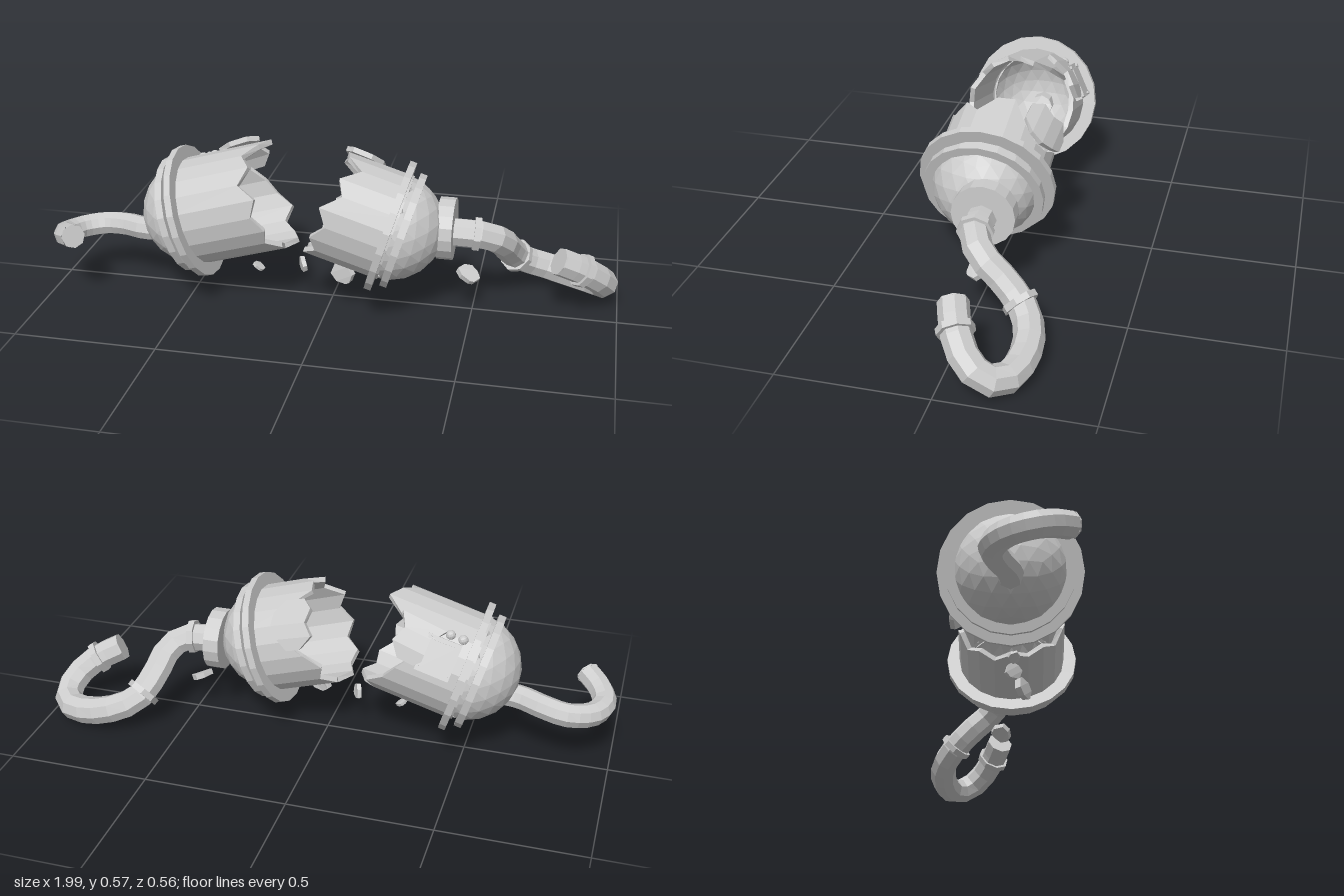
import * as THREE from 'three';

const mat = new THREE.MeshStandardMaterial({ color: 0xcccccc, flatShading: true });
const rad = THREE.MathUtils.degToRad;

function add(parent, name, geometry) {
  const mesh = new THREE.Mesh(geometry, mat);
  mesh.name = name;
  parent.add(mesh);
  return mesh;
}

// Thick curved plate around the x axis; each column is [angle in degrees from the top, start, end]
function shell(columns, r, wall, closed = false) {
  const pos = [], idx = [], n = columns.length;
  for (const [deg, s0, s1] of columns) {
    const c = Math.cos(rad(deg)), s = Math.sin(rad(deg)), ri = r - wall;
    pos.push(s0, r * c, r * s, s1, r * c, r * s, s1, ri * c, ri * s, s0, ri * c, ri * s);
  }
  for (let i = 0; i < (closed ? n : n - 1); i++) {
    const a = i * 4, b = ((i + 1) % n) * 4;
    for (let k = 0; k < 4; k++) {
      const m = (k + 1) % 4;
      idx.push(a + k, b + k, a + m, b + k, b + m, a + m);
    }
  }
  if (!closed) {
    const e = (n - 1) * 4;
    idx.push(0, 1, 2, 0, 2, 3, e, e + 2, e + 1, e, e + 3, e + 2);
  }
  const g = new THREE.BufferGeometry();
  g.setAttribute('position', new THREE.Float32BufferAttribute(pos, 3));
  g.setIndex(idx);
  g.computeVertexNormals();
  return g;
}

// Flat band around the x axis
function band(rIn, rOut, x0, x1) {
  const pts = [[rIn, x0], [rOut, x0], [rOut, x1], [rIn, x1], [rIn, x0]];
  return new THREE.LatheGeometry(pts.map(p => new THREE.Vector2(...p)), 20).rotateZ(-Math.PI / 2);
}

// Hollow dome: the far half of the ball is folded back to form the inside of the bowl
function dome(r) {
  const g = new THREE.IcosahedronGeometry(r, 3), p = g.attributes.position;
  for (let i = 0; i < p.count; i++) {
    const x = p.getX(i);
    if (x > 0) p.setXYZ(i, -x * 0.9, p.getY(i) * 0.92, p.getZ(i) * 0.92);
  }
  g.computeVertexNormals();
  return g;
}

// One broken half, with its open end toward local +x
function half(name, jag) {
  const g = new THREE.Group();
  g.name = name;
  const step = 360 / jag.length;
  add(g, 'brokenShell', shell(jag.map((s, i) => [i * step, -0.02, s]), 0.19, 0.018, true));
  add(g, 'dome', dome(0.187));
  add(g, 'wideFlange', band(0.175, 0.235, -0.012, 0.012));
  add(g, 'narrowFlange', band(0.165, 0.207, -0.06, -0.035));
  return g;
}

// Bent pipe with a closed tip and collars at given fractions of its length
function pipe(name, points, r, collars) {
  const g = new THREE.Group();
  g.name = name;
  const curve = new THREE.CatmullRomCurve3(points.map(p => new THREE.Vector3(...p)));
  add(g, 'tube', new THREE.TubeGeometry(curve, 18, r, 8));
  const disc = (part, t, radius, len) => {
    const m = add(g, part, new THREE.CylinderGeometry(radius, radius, len, 8).rotateX(Math.PI / 2));
    const p = curve.getPointAt(t);
    m.position.copy(p);
    m.lookAt(p.clone().add(curve.getTangentAt(t)));
  };
  disc('pipeTip', 1, r, 0.006);
  collars.forEach(t => disc('collar', t, r * 1.22, 0.022));
  return g;
}

export function createModel() {
  const model = new THREE.Group();
  model.name = 'brokenCapsule';

  // Right-hand half on -x, tilted up toward the break
  const a = half('longHalf', [0.30, 0.25, 0.28, 0.24, 0.29, 0.26, 0.29, 0.27, 0.31, 0.30,
    0.335, 0.31, 0.27, 0.30, 0.25, 0.22, 0.18, 0.17, 0.26, 0.33]);
  a.position.set(-0.487, 0.31, 0.04);
  a.rotation.z = rad(16.5);
  model.add(a);

  // Control hatch, rivets and buttons on the upper back
  const hatch = new THREE.Group();
  hatch.name = 'controlHatch';
  hatch.rotation.x = rad(-62);
  a.add(hatch);
  add(hatch, 'hatchPlate', new THREE.BoxGeometry(0.12, 0.025, 0.13)).position.set(0.1, 0.193, 0);
  add(hatch, 'hatchDoor', new THREE.BoxGeometry(0.09, 0.012, 0.1)).position.set(0.1, 0.207, 0);
  for (const x of [0.05, 0.15]) for (const z of [-0.055, 0.055])
    add(hatch, 'rivet', new THREE.CylinderGeometry(0.007, 0.007, 0.012, 6)).position.set(x, 0.208, z);
  for (let i = 0; i < 3; i++) {
    const b = add(a, 'button', new THREE.IcosahedronGeometry(0.017, 1));
    b.position.set(0.045 + i * 0.045, 0.19 * Math.cos(rad(36)), -0.19 * Math.sin(rad(36)));
  }

  // Torn plate peeled away at the break
  const flapA = add(a, 'tornPlate', shell([[-80, 0.19, 0.25], [-66, 0.15, 0.29], [-50, 0.17, 0.27],
    [-36, 0.14, 0.30], [-24, 0.2, 0.27]], 0.2, 0.018));
  flapA.position.set(-0.02, -0.005, -0.01);
  flapA.rotation.z = rad(5);

  // Shorter half on +x
  const b = half('shortHalf', [0.21, 0.22, 0.13, 0.09, 0.11, 0.17, 0.22, 0.19, 0.23, 0.21,
    0.25, 0.23, 0.25, 0.21, 0.24, 0.20, 0.24, 0.18, 0.21, 0.15]);
  b.position.set(0.21, 0.315, 0.04);
  b.rotation.set(0, Math.PI, rad(-17), 'ZYX');
  model.add(b);
  const flapB = add(b, 'tornPlate', shell([[26, 0.15, 0.22], [38, 0.11, 0.25], [52, 0.1, 0.23],
    [66, 0.12, 0.25], [78, 0.15, 0.2]], 0.2, 0.018));
  flapB.position.set(0, 0, 0.012);
  flapB.rotation.y = rad(-5);

  // Pipe socket and the two hooked pipes
  const neck = add(model, 'pipeSocket', new THREE.CylinderGeometry(0.108, 0.108, 0.055, 16).rotateZ(Math.PI / 2));
  neck.position.set(0.4, 0.305, -0.003);
  model.add(pipe('longPipe', [[0.4, 0.295, 0], [0.53, 0.29, -0.005], [0.585, 0.255, -0.045],
    [0.61, 0.19, -0.125], [0.65, 0.125, -0.195], [0.73, 0.088, -0.232], [0.82, 0.063, -0.233],
    [0.91, 0.053, -0.205], [0.95, 0.07, -0.15], [0.935, 0.115, -0.09], [0.88, 0.165, -0.045],
    [0.79, 0.212, -0.01]], 0.05, [0.1, 0.375, 0.91]));
  model.add(pipe('shortPipe', [[-0.6, 0.225, 0.04], [-0.68, 0.22, 0.035], [-0.76, 0.215, 0.003],
    [-0.85, 0.205, -0.012], [-0.93, 0.2, 0.03], [-0.958, 0.208, 0.1], [-0.935, 0.228, 0.16],
    [-0.885, 0.25, 0.215]], 0.042, []));

  // Loose fragments: [position, rotation in degrees, scale]
  const chips = [
    [[-0.26, 0.12, 0.05], [20, 30, -40], 0.55],
    [[-0.1, 0.14, 0.045], [60, 20, 70], 0.75],
    [[0.05, 0.14, 0.08], [70, 25, 30], 1.1],
    [[0.48, 0.14, 0], [25, 15, -25], 1],
  ];
  for (const [p, r, k] of chips) {
    const g = shell([[-11, -0.01, 0.02], [-3, -0.04, 0.035], [6, -0.03, 0.04], [12, 0, 0.015]], 0.19, 0.02);
    const chip = add(model, 'fragment', g.translate(0, -0.18, 0));
    chip.position.set(...p);
    chip.rotation.set(...r.map(rad));
    chip.scale.setScalar(k);
  }
  return model;
}
